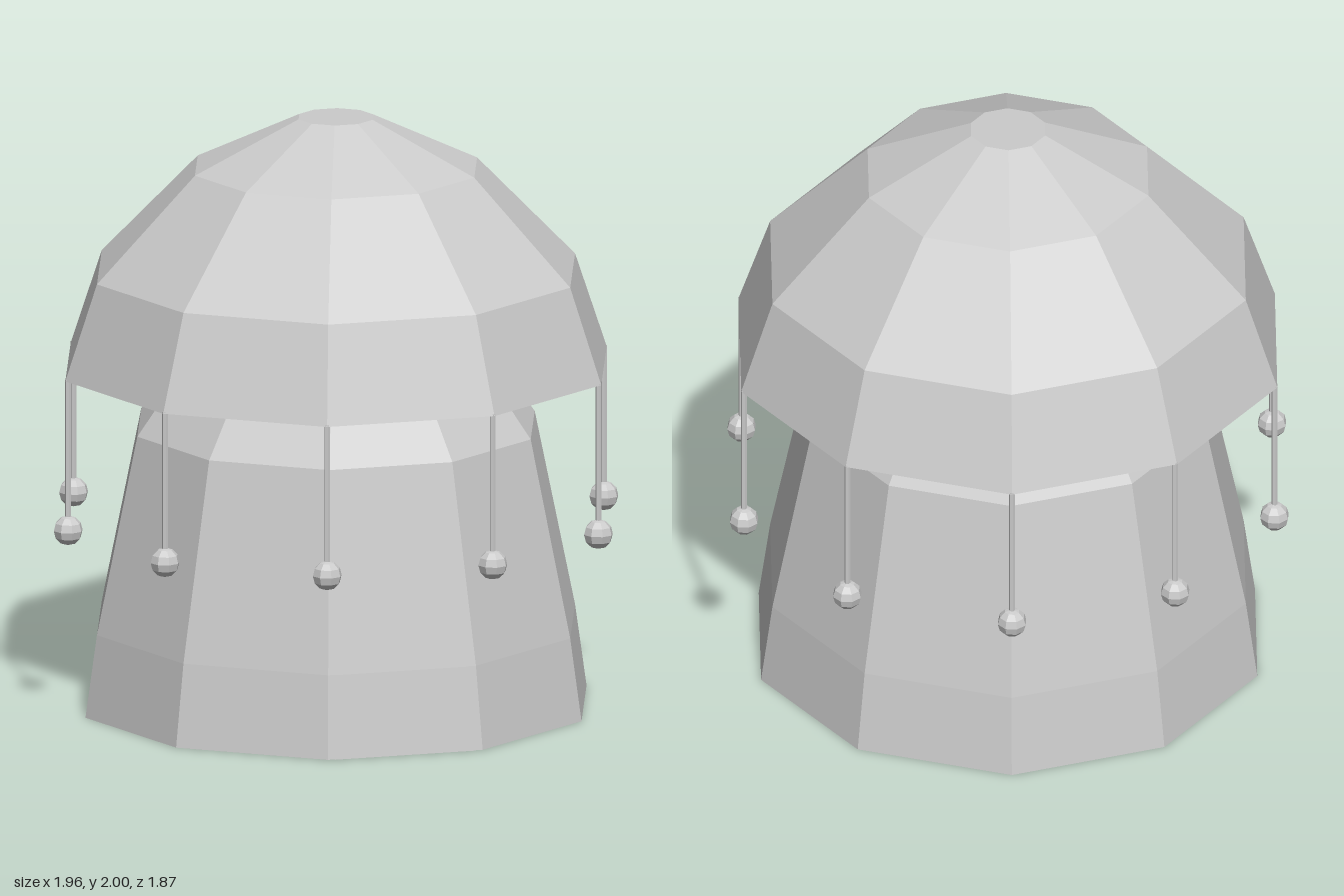
import * as THREE from 'three';

const SIDES = 10;
const material = new THREE.MeshStandardMaterial({ color: 0xcccccc, flatShading: true });
const thinMaterial = new THREE.MeshStandardMaterial({ color: 0xcccccc, flatShading: true, side: THREE.DoubleSide });

function addMesh(parent, name, geometry, mat = material) {
  const mesh = new THREE.Mesh(geometry, mat);
  mesh.name = name;
  parent.add(mesh);
  return mesh;
}

// Ten-sided turned form with a corner on the x axis and a flat face to the front
function turned(profile) {
  const points = profile.map(([r, y]) => new THREE.Vector2(r, y));
  return new THREE.LatheGeometry(points, SIDES, Math.PI / SIDES);
}

// Stem wall: [radius, height]
const WALL = [[0.87, 0], [0.83, 0.28], [0.69, 0.95], [0.405, 1.345], [0.12, 1.45]];

function wallRadius(y) {
  const i = Math.max(1, WALL.findIndex(([, h]) => h >= y));
  const [r0, y0] = WALL[i - 1];
  const [r1, y1] = WALL[i];
  return r0 + ((r1 - r0) * (y - y0)) / (y1 - y0);
}

// Arched panel lying just proud of the front wall facet
function doorGeometry() {
  const rows = [[0.245, 0], [0.23, 0.28], [0.225, 0.365], [0.16, 0.487], [0, 0.535]];
  const positions = [];
  const index = [];
  rows.forEach(([halfWidth, y], i) => {
    const z = wallRadius(y) * Math.cos(Math.PI / SIDES) + 0.005;
    positions.push(-halfWidth, y, z, halfWidth, y, z);
    if (i > 0) {
      const a = 2 * (i - 1);
      index.push(a, a + 1, a + 3);
      if (halfWidth > 0) index.push(a, a + 3, a + 2);
    }
  });
  const geometry = new THREE.BufferGeometry();
  geometry.setAttribute('position', new THREE.Float32BufferAttribute(positions, 3));
  geometry.setIndex(index);
  geometry.computeVertexNormals();
  return geometry;
}

export function createModel() {
  const model = new THREE.Group();
  model.name = 'mushroomHouse';

  // Closed stem and open cap shell
  addMesh(model, 'stem', turned([[0, 0], ...WALL, [0, 1.45]]));
  addMesh(model, 'cap', turned([[0.94, 1.155], [0.83, 1.48], [0.49, 1.83], [0.13, 2], [0, 2]]), thinMaterial);
  addMesh(model, 'door', doorGeometry(), thinMaterial);

  // A cord with a bead hangs from every corner of the rim
  const cord = new THREE.CylinderGeometry(0.01, 0.01, 0.5, 6);
  const bead = new THREE.SphereGeometry(0.05, 8, 6);
  for (let i = 0; i < SIDES; i++) {
    const angle = (i / SIDES) * Math.PI * 2;
    const pendant = new THREE.Group();
    pendant.name = 'pendant';
    pendant.position.set(0.93 * Math.cos(angle), 0, 0.93 * Math.sin(angle));
    addMesh(pendant, 'cord', cord).position.y = 0.91;
    addMesh(pendant, 'bead', bead).position.y = 0.645;
    model.add(pendant);
  }
  return model;
}
